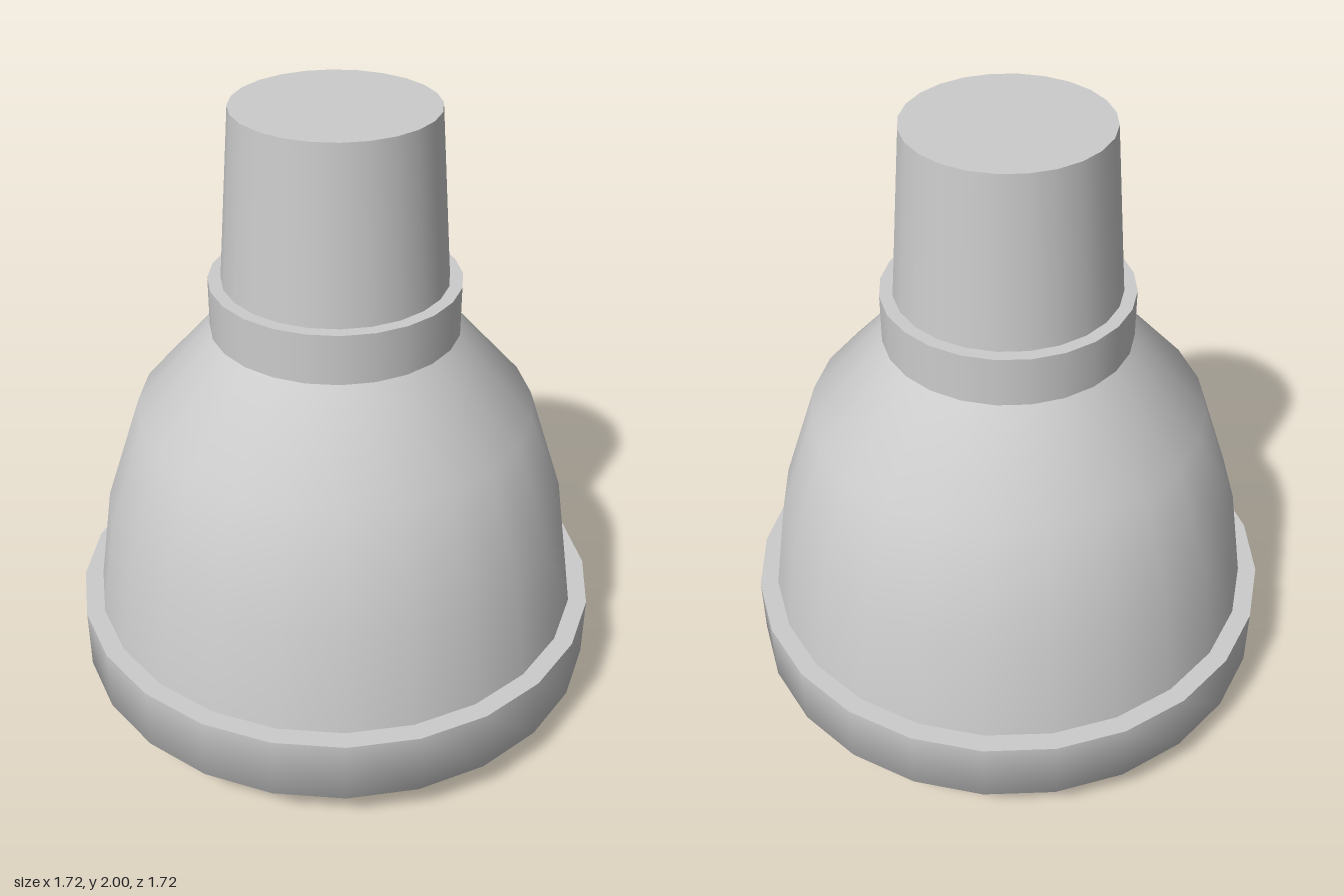
import * as THREE from 'three';

const SIDES = 24;

// Each run of [radius, height] points is smooth inside; separate runs meet at a hard edge.
function turned(name, runs, material) {
  const part = new THREE.Group();
  part.name = name;
  for (const [surface, points] of Object.entries(runs)) {
    const profile = points.map(([r, y]) => new THREE.Vector2(r, y));
    const mesh = new THREE.Mesh(new THREE.LatheGeometry(profile, SIDES), material);
    mesh.name = `${name} ${surface}`;
    part.add(mesh);
  }
  return part;
}

export function createModel() {
  const model = new THREE.Group();
  model.name = 'bellShapedHead';
  const grey = new THREE.MeshStandardMaterial({ color: 0xcccccc });

  // Wide rim with a rounded underside and a recessed face
  model.add(turned('rim', {
    recessedFace: [[0, 0.176], [0.57, 0.176]],
    recessWall: [[0.57, 0.176], [0.57, 0.063]],
    recessChamfer: [[0.57, 0.063], [0.635, 0]],
    outside: [[0.635, 0], [0.69, 0], [0.86, 0.13], [0.86, 0.34]],
    ledge: [[0.86, 0.34], [0.8, 0.34]],
  }, grey));

  // Bell-shaped body
  model.add(turned('body', {
    shell: [[0.8, 0.34], [0.75, 0.67], [0.63, 1.03], [0.39, 1.3]],
  }, grey));

  // Collar between body and neck
  model.add(turned('collar', {
    wall: [[0.39, 1.3], [0.39, 1.46]],
    ledge: [[0.39, 1.46], [0.35, 1.46]],
  }, grey));

  // Tapered neck with a flat closed top
  model.add(turned('neck', {
    wall: [[0.35, 1.46], [0.31, 2]],
    cap: [[0.31, 2], [0, 2]],
  }, grey));

  return model;
}
